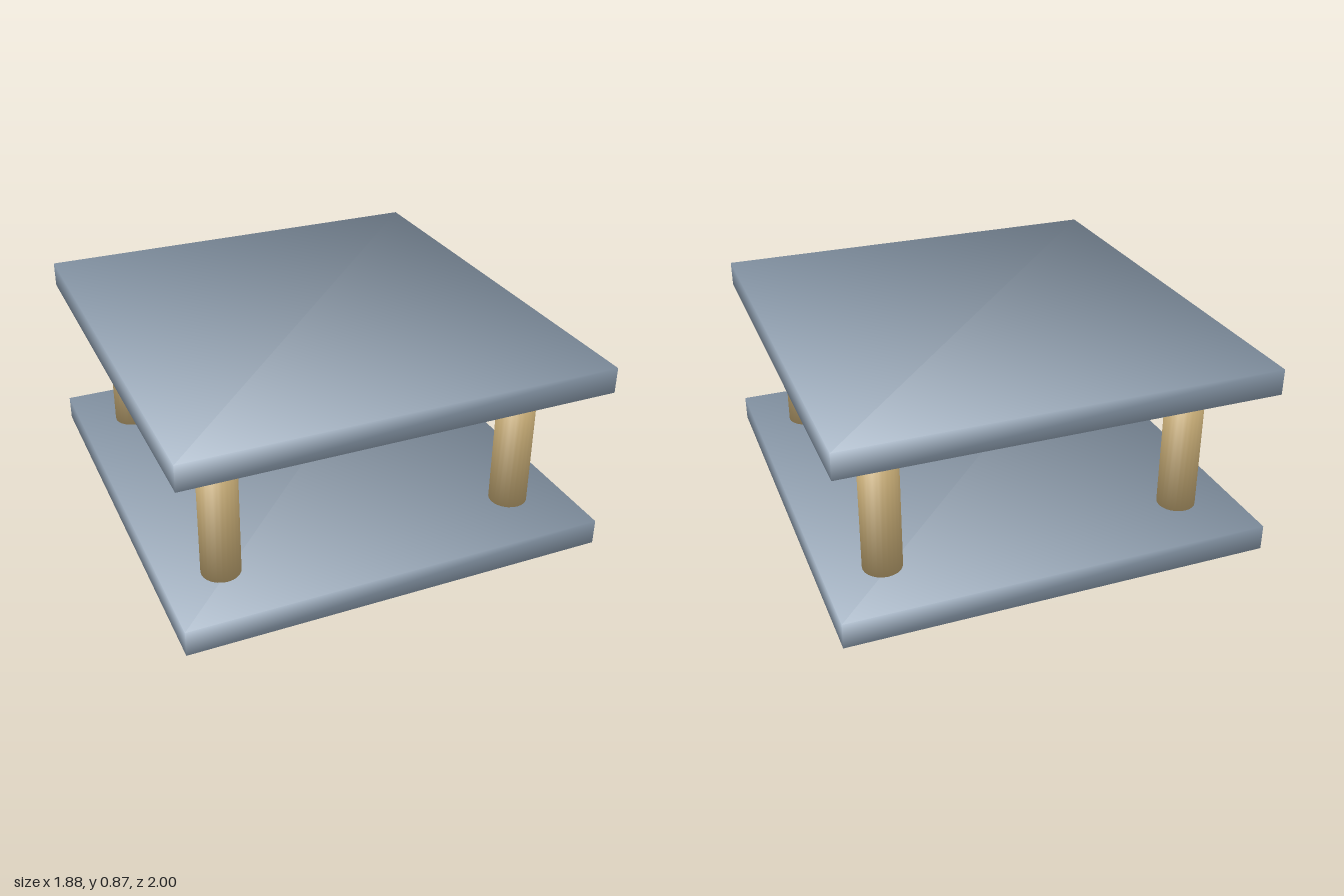
import * as THREE from 'three';

// Average the normals of touching faces so the shading rolls softly over every edge.
function soften(geometry) {
  const pos = geometry.attributes.position, nor = geometry.attributes.normal;
  const corners = new Map();
  const p = new THREE.Vector3(), n = new THREE.Vector3();
  const keyOf = (v) => [v.x, v.y, v.z].map((c) => Math.round(c * 1e4)).join();
  for (let i = 0; i < pos.count; i++) {
    const key = keyOf(p.fromBufferAttribute(pos, i));
    if (!corners.has(key)) corners.set(key, new Map());
    corners.get(key).set(keyOf(n.fromBufferAttribute(nor, i)), n.clone());
  }
  for (let i = 0; i < pos.count; i++) {
    n.set(0, 0, 0);
    for (const face of corners.get(keyOf(p.fromBufferAttribute(pos, i))).values()) n.add(face);
    n.normalize();
    nor.setXYZ(i, n.x, n.y, n.z);
  }
  return geometry;
}

export function createModel() {
  const model = new THREE.Group();
  model.name = 'twoTierStand';
  const slate = new THREE.MeshStandardMaterial({ name: 'slateBlue', color: 0x91a2b4 });
  const brass = new THREE.MeshStandardMaterial({ name: 'paleBrass', color: 0xd6b97f });

  function add(parent, name, geometry, material, x, y, z) {
    const mesh = new THREE.Mesh(geometry, material);
    mesh.name = name;
    mesh.position.set(x, y, z);
    parent.add(mesh);
  }

  // Lower and upper plates
  const plate = soften(new THREE.BoxGeometry(1.88, 0.114, 2));
  add(model, 'basePlate', plate, slate, 0, 0.057, 0);
  add(model, 'topPlate', plate, slate, 0, 0.815, 0);

  // Four corner posts
  const post = soften(new THREE.CylinderGeometry(0.085, 0.085, 0.646, 24));
  for (const sx of [-1, 1]) {
    for (const sz of [-1, 1]) {
      const name = (sz > 0 ? 'front' : 'back') + (sx > 0 ? 'Left' : 'Right') + 'Post';
      add(model, name, post, brass, sx * 0.685, 0.436, sz * 0.685);
    }
  }

  // Three round knobs with inset centres; the outer two tuck into the top plate
  const rim = soften(new THREE.CylinderGeometry(0.071, 0.071, 0.05, 24)).rotateX(Math.PI / 2);
  const core = soften(new THREE.CylinderGeometry(0.044, 0.044, 0.05, 24)).rotateX(Math.PI / 2);
  for (const [name, x, y] of [['centreKnob', 0, 0.62], ['leftKnob', 0.263, 0.79], ['rightKnob', -0.263, 0.79]]) {
    const knob = new THREE.Group();
    knob.name = name;
    knob.position.set(x, y, 0.577);
    add(knob, 'knobRim', rim, brass, 0, 0, 0);
    add(knob, 'knobCentre', core, slate, 0, 0, 0.01);
    model.add(knob);
  }
  return model;
}
